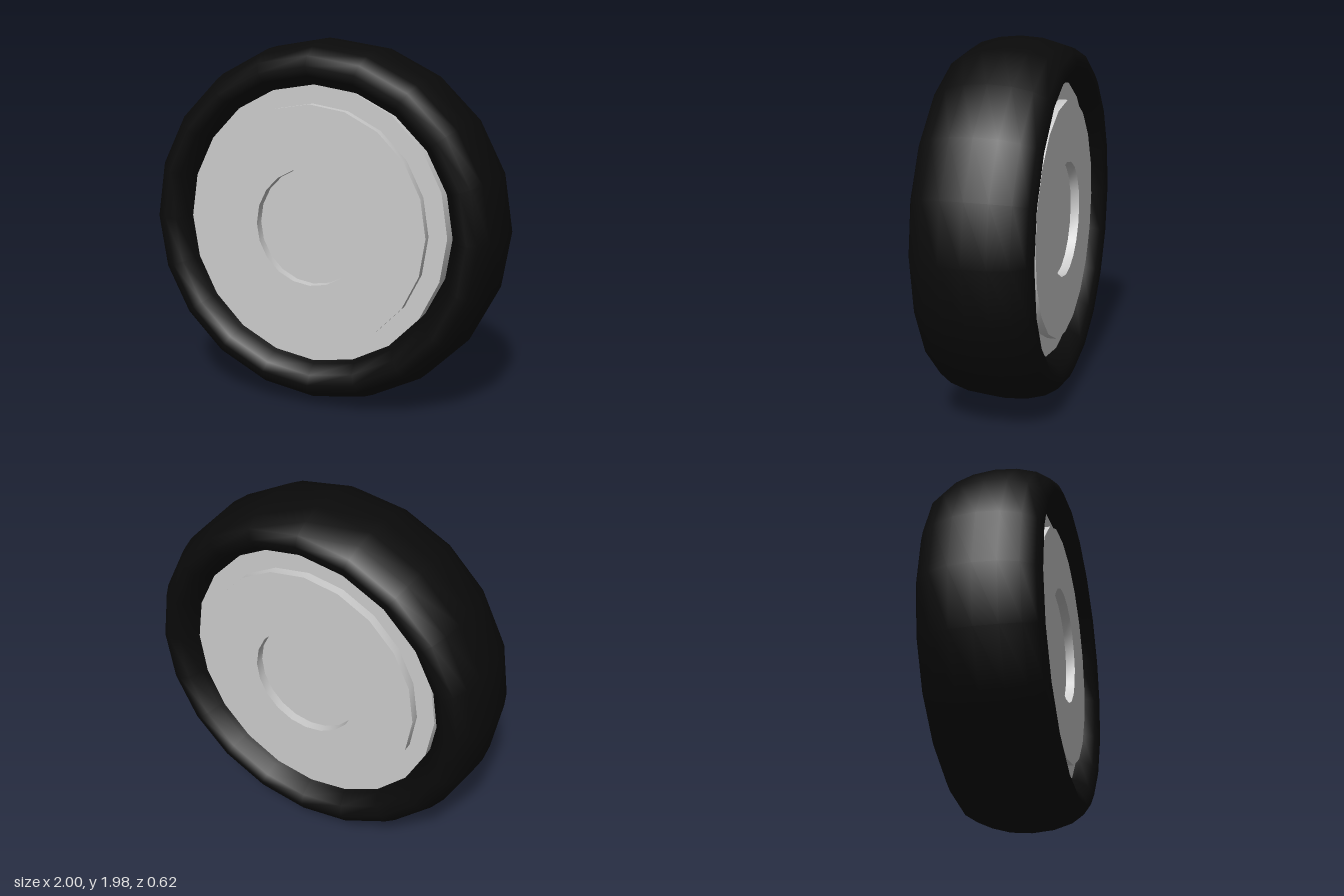
import * as THREE from 'three';
import { toCreasedNormals } from 'three/addons/utils/BufferGeometryUtils.js';

const SIDES = 20;

export function createModel() {
  const wheel = new THREE.Group();
  wheel.name = 'wheel';

  // Tyre: a torus widened along the axle, very slightly flattened in height
  const tyreGeometry = new THREE.TorusGeometry(0.865, 0.135, 16, SIDES);
  tyreGeometry.scale(1, 0.99, 0.312 / 0.135);
  tyreGeometry.computeVertexNormals();
  // rebuild smooth normals across the torus seams
  const pos = tyreGeometry.attributes.position, nor = tyreGeometry.attributes.normal;
  for (let i = 0; i < pos.count; i++) {
    const x = pos.getX(i), y = pos.getY(i) / 0.99, z = pos.getZ(i);
    const r = Math.hypot(x, y), radial = (r - 0.865) / 0.135 ** 2;
    const n = new THREE.Vector3(x / r * radial, y / r * radial, z / 0.312 ** 2).normalize();
    nor.setXYZ(i, n.x, n.y, n.z);
  }
  const tyre = new THREE.Mesh(tyreGeometry, new THREE.MeshStandardMaterial({ color: 0x0a0a0a }));
  tyre.name = 'tyre';
  tyre.position.y = 0.99;
  wheel.add(tyre);

  // Rim: outer lip, raised disc and sunken hub, mirrored on both faces
  const half = [
    [0.742, 0.205], [0.643, 0.205], // lip
    [0.643, 0.255], [0.312, 0.255], // raised disc
    [0.312, 0.205], [0, 0.205],     // hub recess
  ];
  const profile = [
    ...half.map(([r, z]) => new THREE.Vector2(r, -z)).reverse(),
    ...half.map(([r, z]) => new THREE.Vector2(r, z)),
  ];
  const rimGeometry = new THREE.LatheGeometry(profile, SIDES);
  rimGeometry.rotateX(Math.PI / 2);
  rimGeometry.scale(1, 1.015, 1);
  const rim = new THREE.Mesh(
    toCreasedNormals(rimGeometry, 0.6),
    new THREE.MeshStandardMaterial({ color: 0xcccccc })
  );
  rim.name = 'rim';
  rim.position.set(-0.007, 0.996, 0);
  wheel.add(rim);

  return wheel;
}
